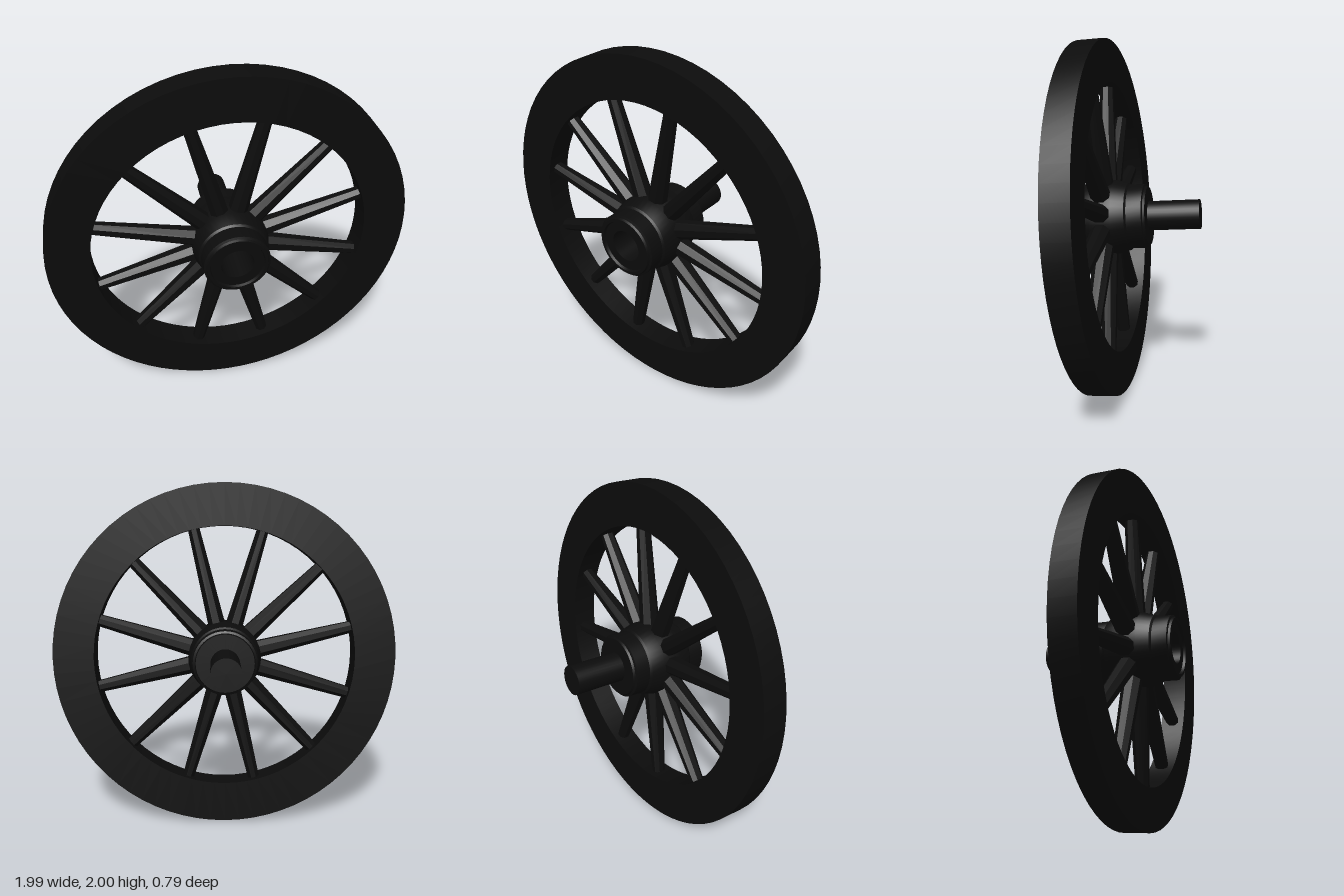
import * as THREE from 'three';
import { toCreasedNormals } from 'three/addons/utils/BufferGeometryUtils.js';

const SPOKES = 12;
const TILT = 0.0733; // lean of the wheel, top towards the front

// Revolve [radius, z] points around the axle (z) with crisp edges
function turned(points, segments) {
  const profile = points.map(([r, z]) => new THREE.Vector2(r, z));
  const geometry = new THREE.LatheGeometry(profile, segments).rotateX(Math.PI / 2);
  return toCreasedNormals(geometry, 0.5);
}

export function createModel() {
  const black = new THREE.MeshStandardMaterial({ color: 0x0c0c0c });
  black.name = 'black iron and wood';
  const green = new THREE.MeshStandardMaterial({ color: 0x86b02c });
  green.name = 'lime green';

  const model = new THREE.Group();
  model.name = 'spokedWheel';
  const wheel = new THREE.Group();
  wheel.name = 'tiltedWheel';
  wheel.position.set(0, 1, 0.143);
  wheel.rotation.x = TILT;
  model.add(wheel);

  const add = (name, geometry, material, parent = wheel) => {
    const mesh = new THREE.Mesh(geometry, material);
    mesh.name = name;
    parent.add(mesh);
    return mesh;
  };

  // Broad flat rim
  add('rim', turned([
    [0.997, -0.0725], [0.997, 0.0725], [0.76, 0.0725], [0.76, -0.0725], [0.997, -0.0725],
  ], 72), black);

  // Hub: swollen middle, end bands, and a bore running through it
  add('hub', turned([
    [0.07, -0.242], [0.165, -0.242], [0.17, -0.23], [0.182, -0.225], [0.182, -0.14],
    [0.192, -0.13], [0.212, -0.06], [0.212, 0.06], [0.192, 0.13], [0.182, 0.14],
    [0.182, 0.225], [0.17, 0.23], [0.165, 0.242], [0.15, 0.242], [0.145, 0.228],
    [0.09, 0.228], [0.09, -0.242],
  ], 40), black);

  // Painted disc at the bottom of the bore
  const disc = add('boreDisc', new THREE.CircleGeometry(0.09, 32), green);
  disc.position.z = -0.238;

  // Axle stub behind the hub
  const axle = add('axle', new THREE.CylinderGeometry(0.083, 0.083, 0.29, 32), black);
  axle.rotation.x = Math.PI / 2;
  axle.position.z = -0.388;

  // Tapered eight-sided spokes
  const spokeGeometry = toCreasedNormals(
    new THREE.CylinderGeometry(0.035, 0.054, 0.63, 8).rotateY(Math.PI / 8), 0.5);
  spokeGeometry.scale(1, 1, 1.1).translate(0, 0.475, 0);
  const spokes = new THREE.Group();
  spokes.name = 'spokes';
  wheel.add(spokes);
  for (let i = 0; i < SPOKES; i++) {
    const spoke = add('spoke', spokeGeometry, black, spokes);
    spoke.rotation.z = (i / SPOKES) * Math.PI * 2 + THREE.MathUtils.degToRad(16.7);
  }

  return model;
}
